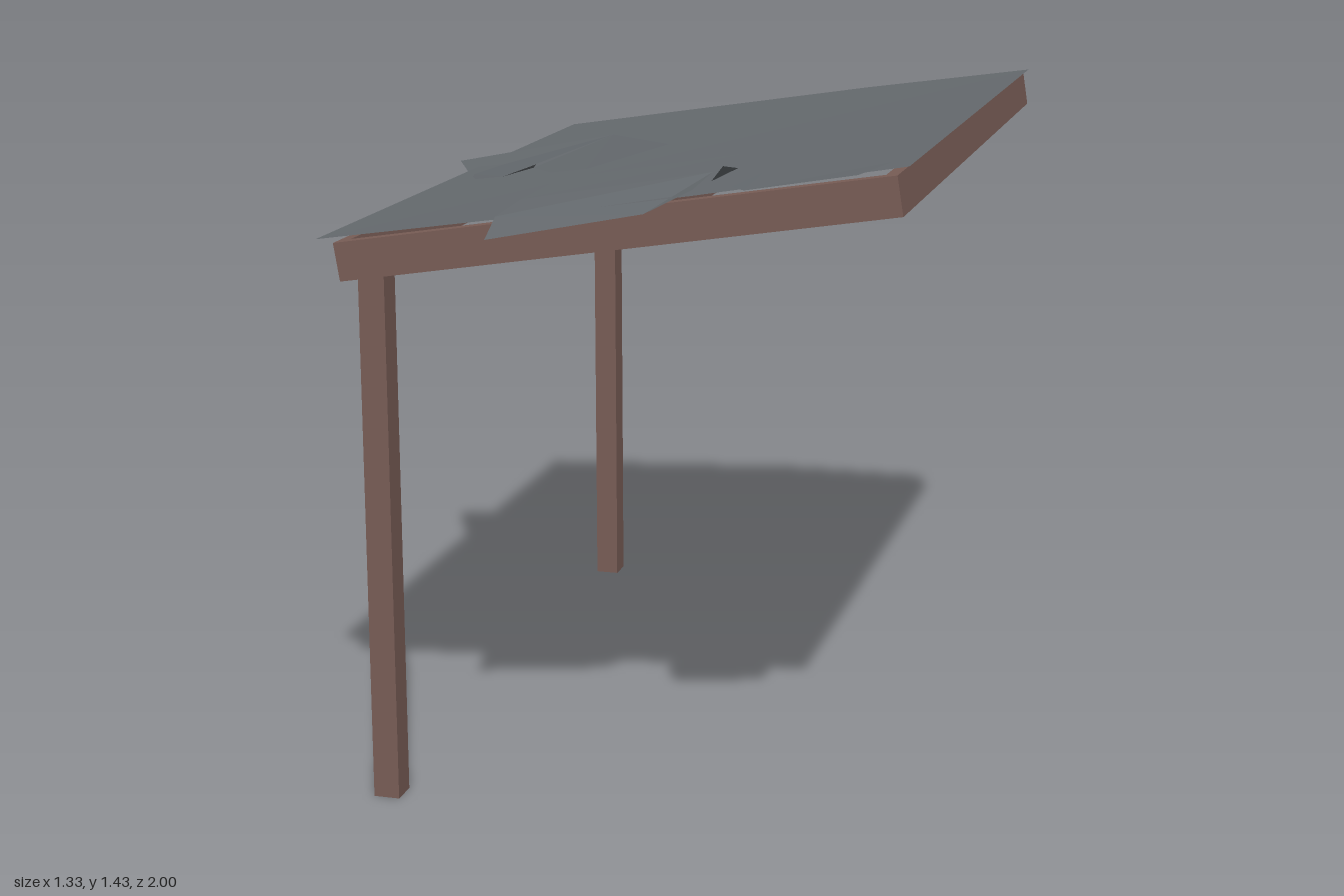
import * as THREE from 'three';

export function createModel() {
  const model = new THREE.Group();
  model.name = 'leanToShelter';
  const wood = new THREE.MeshStandardMaterial({ color: 0x7a5e57 });
  wood.name = 'brown wood';
  const sheet = new THREE.MeshStandardMaterial({ color: 0x666b6f, side: THREE.DoubleSide });
  sheet.name = 'grey roofing';

  const box = (parent, name, size, pos) => {
    const mesh = new THREE.Mesh(new THREE.BoxGeometry(...size), wood);
    mesh.name = name;
    mesh.position.set(...pos);
    parent.add(mesh);
  };

  // Height of the sloping, slightly twisted roof
  const roofY = (x, z) => 1.221 + (x + 0.57) * (0.16 + 0.007 * z);

  // Thin torn sheet: outline of [x, z, lift above roof]
  const addSheet = (name, outline) => {
    let pts = outline;
    const flat = (list) => list.map(([x, z]) => new THREE.Vector2(x, -z));
    if (THREE.ShapeUtils.isClockWise(flat(pts))) pts = [...pts].reverse();
    const pos = [];
    for (const face of THREE.ShapeUtils.triangulateShape(flat(pts), [])) {
      for (const i of face) {
        const [x, z, lift = 0] = pts[i];
        pos.push(x, roofY(x, z) + lift, z);
      }
    }
    const geo = new THREE.BufferGeometry();
    geo.setAttribute('position', new THREE.Float32BufferAttribute(pos, 3));
    geo.computeVertexNormals();
    const mesh = new THREE.Mesh(geo, sheet);
    mesh.name = name;
    model.add(mesh);
  };

  // Posts on the low side
  box(model, 'frontPost', [0.057, 1.15, 0.06], [-0.457, 0.575, 0.725]);
  box(model, 'backPost', [0.057, 1.15, 0.06], [-0.457, 0.575, -0.897]);

  // Tilted frame: long rails across the ends, side beams between them
  const frame = new THREE.Group();
  frame.name = 'roofFrame';
  frame.position.set(0.057, 1.269, -0.0825);
  frame.rotation.z = 0.161;
  model.add(frame);
  for (const s of [-1, 1]) {
    box(frame, s < 0 ? 'lowRail' : 'highRail', [0.028, 0.081, 1.695], [s * 0.578, 0, 0]);
    box(frame, s < 0 ? 'backBeam' : 'frontBeam', [1.128, 0.081, 0.03], [0, 0, s * 0.8325]);
  }
  box(frame, 'middleRail', [0.028, 0.081, 1.635], [0.02, 0, 0]);

  // Main roof sheet
  addSheet('roofSheet', [
    [-0.57, -0.96], [0.22, -1.0], [0.645, -0.955], [0.66, 0.78],
    [0.24, 0.82], [-0.16, 0.81], [-0.57, 0.77],
  ]);

  // Torn patch lifting off the low edge
  addSheet('tornPatch', [
    [-0.665, -0.345, 0.005], [-0.305, -0.455, 0.012], [0.03, 0.23, 0.045],
    [-0.11, 0.38, 0.03], [-0.21, 0.32, 0.025], [-0.325, 0.10, 0.016],
    [-0.25, 0.30, 0.045], [-0.35, 0.235, 0.02], [-0.48, 0.06, 0.002], [-0.56, -0.12, -0.004],
  ]);

  // Patch drooping over the front edge, in two strips
  addSheet('droopingPatchTop', [
    [-0.165, 0.395, 0.018], [0.24, 0.395, 0.022], [0.24, 0.65, 0.022], [-0.165, 0.65, 0.015],
  ]);
  addSheet('droopingPatchEnd', [
    [-0.165, 0.65, 0.015], [0.24, 0.65, 0.022], [0.24, 0.81, 0.01],
    [0.165, 0.89, -0.015], [-0.14, 0.945, -0.02], [-0.165, 0.81, 0.006],
  ]);

  // Ragged flap rising past the front corner
  addSheet('raggedFlap', [
    [0.26, 0.32, 0.003], [0.255, 0.72, 0.012], [0.315, 0.86, 0.055], [0.345, 0.65, 0.01],
    [0.34, 0.9, 0.018], [0.39, 0.995, 0.02], [0.595, 0.945, 0.016], [0.61, 0.69, 0.002],
    [0.62, 0.32, -0.004],
  ]);

  return model;
}
